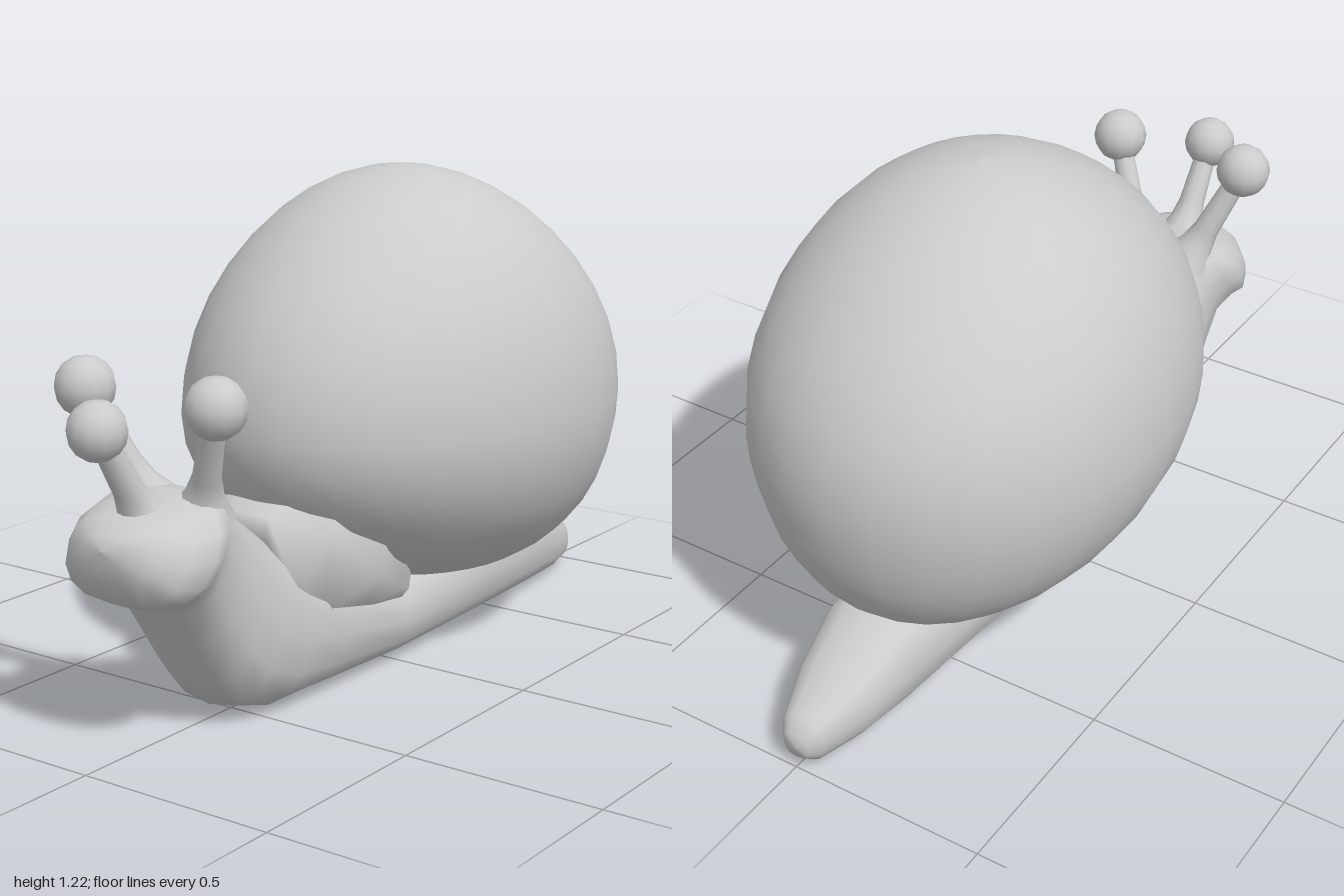
import * as THREE from 'three';

const grey = new THREE.MeshStandardMaterial({ color: 0xcccccc });
const greyDouble = new THREE.MeshStandardMaterial({ color: 0xcccccc, side: THREE.DoubleSide });

function addMesh(group, name, geometry, material = grey) {
  const mesh = new THREE.Mesh(geometry, material);
  mesh.name = name;
  group.add(mesh);
  return mesh;
}

// Skin a list of equally long point rows; closed rows wrap round.
function skin(rows, closed) {
  const n = rows[0].length;
  const index = [];
  for (let i = 0; i < rows.length - 1; i++) {
    for (let j = 0; j < (closed ? n : n - 1); j++) {
      const k = (j + 1) % n;
      const a = i * n + j, b = i * n + k, c = a + n, d = b + n;
      index.push(a, b, d, a, d, c);
    }
  }
  const geometry = new THREE.BufferGeometry();
  geometry.setAttribute('position', new THREE.Float32BufferAttribute(rows.flat(2), 3));
  geometry.setIndex(index);
  geometry.computeVertexNormals();
  return geometry;
}

// Rounded-box ring between a bottom point and a top point on the middle plane.
function ring([bz, by, tz, ty, w], sides = 16) {
  const soft = (v) => Math.sign(v) * Math.pow(Math.abs(v), 0.8);
  return Array.from({ length: sides }, (_, j) => {
    const a = (j / sides) * Math.PI * 2;
    const s = (soft(Math.sin(a)) + 1) / 2;
    return [w * soft(Math.cos(a)), by + (ty - by) * s, bz + (tz - bz) * s];
  });
}

// Foot, neck and head: bottom z, bottom y, top z, top y, half width
function bodyGeometry() {
  const sections = [
    [-1.0, 0.065, -1.0, 0.066, 0.001],
    [-0.995, 0.035, -0.995, 0.1, 0.035],
    [-0.97, 0.015, -0.965, 0.135, 0.06],
    [-0.85, 0.01, -0.85, 0.19, 0.105],
    [-0.7, 0.008, -0.7, 0.26, 0.135],
    [-0.4, 0.008, -0.4, 0.27, 0.16],
    [0.0, 0.008, 0.0, 0.22, 0.168],
    [0.28, 0.006, 0.24, 0.3, 0.168],
    [0.46, 0.006, 0.36, 0.36, 0.168],
    [0.58, 0.04, 0.45, 0.42, 0.165],
    [0.64, 0.11, 0.5, 0.46, 0.162],
    [0.71, 0.22, 0.56, 0.505, 0.16],
    [0.77, 0.315, 0.62, 0.555, 0.162],
    [0.81, 0.35, 0.665, 0.585, 0.185],
    [0.855, 0.35, 0.71, 0.59, 0.197],
    [0.9, 0.37, 0.79, 0.575, 0.175],
    [0.925, 0.42, 0.87, 0.555, 0.125],
    [0.93, 0.465, 0.915, 0.53, 0.06],
    [0.93, 0.495, 0.93, 0.496, 0.001],
  ];
  return skin(sections.map((s) => ring(s)), true);
}

// Egg-shaped shell: narrower forward, with its underside swept back
function shellGeometry() {
  const geometry = new THREE.SphereGeometry(1, 28, 20);
  const p = geometry.attributes.position;
  for (let i = 0; i < p.count; i++) {
    const x = p.getX(i), y = p.getY(i), z = p.getZ(i);
    const up = y > 0;
    p.setXYZ(i,
      x * 0.505 * (1 - 0.06 * z),
      0.64 + y * (up ? 0.585 : 0.49),
      -0.195 + z * 0.645 * (up ? 1 - 0.2 * y * y : 1) - (up ? 0 : 0.18 * y * y));
  }
  geometry.computeVertexNormals();
  // Keep the seam smooth
  const nrm = geometry.attributes.normal;
  for (let r = 0; r <= 20; r++) {
    const a = r * 29, b = a + 28;
    const v = new THREE.Vector3().fromBufferAttribute(nrm, a)
      .add(new THREE.Vector3().fromBufferAttribute(nrm, b)).normalize();
    nrm.setXYZ(a, v.x, v.y, v.z);
    nrm.setXYZ(b, v.x, v.y, v.z);
  }
  return geometry;
}

// Flared collar between the neck and the shell
function collarGeometry() {
  const mirror = (half) => [...half, ...half.slice(0, -1).reverse().map(([x, y, z]) => [-x, y, z])];
  const atBody = [[0.14, 0.17, 0], [0.14, 0.18, 0.15], [0.145, 0.22, 0.32],
    [0.14, 0.3, 0.43], [0.08, 0.4, 0.46], [0, 0.41, 0.45]];
  const rim = [[0.165, 0.2, 0], [0.21, 0.235, 0.1], [0.265, 0.32, 0.26],
    [0.21, 0.43, 0.38], [0.1, 0.483, 0.48], [0, 0.487, 0.49]];
  const inShell = [[0.14, 0.25, -0.05], [0.19, 0.33, 0.03], [0.2, 0.4, 0.14],
    [0.15, 0.47, 0.28], [0.08, 0.49, 0.34], [0, 0.49, 0.36]];
  return skin([atBody, rim, inShell].map(mirror), false);
}

// Tapered stalk with a ball on its tip
function feeler(name, base, tip, radius) {
  const group = new THREE.Group();
  group.name = name;
  const from = new THREE.Vector3(...base), to = new THREE.Vector3(...tip);
  const dir = to.clone().sub(from);
  const profile = [[0.075, -0.03], [0.045, 0.03], [0.034, 0.08], [0.027, dir.length()]];
  const stalk = addMesh(group, 'stalk',
    new THREE.LatheGeometry(profile.map(([r, y]) => new THREE.Vector2(r, y)), 10));
  stalk.position.copy(from);
  stalk.quaternion.setFromUnitVectors(new THREE.Vector3(0, 1, 0), dir.normalize());
  addMesh(group, 'ball', new THREE.SphereGeometry(radius, 12, 8)).position.copy(to);
  return group;
}

export function createModel() {
  const model = new THREE.Group();
  model.name = 'snail';
  addMesh(model, 'body', bodyGeometry());
  addMesh(model, 'shell', shellGeometry());
  addMesh(model, 'collar', collarGeometry(), greyDouble);
  for (const [side, s] of [['left', 1], ['right', -1]]) {
    model.add(feeler(side + 'Feeler', [s * 0.085, 0.56, 0.69], [s * 0.188, 0.806, 0.765], 0.071));
  }
  model.add(feeler('middleFeeler', [0, 0.55, 0.8], [0, 0.763, 0.932], 0.068));
  return model;
}
